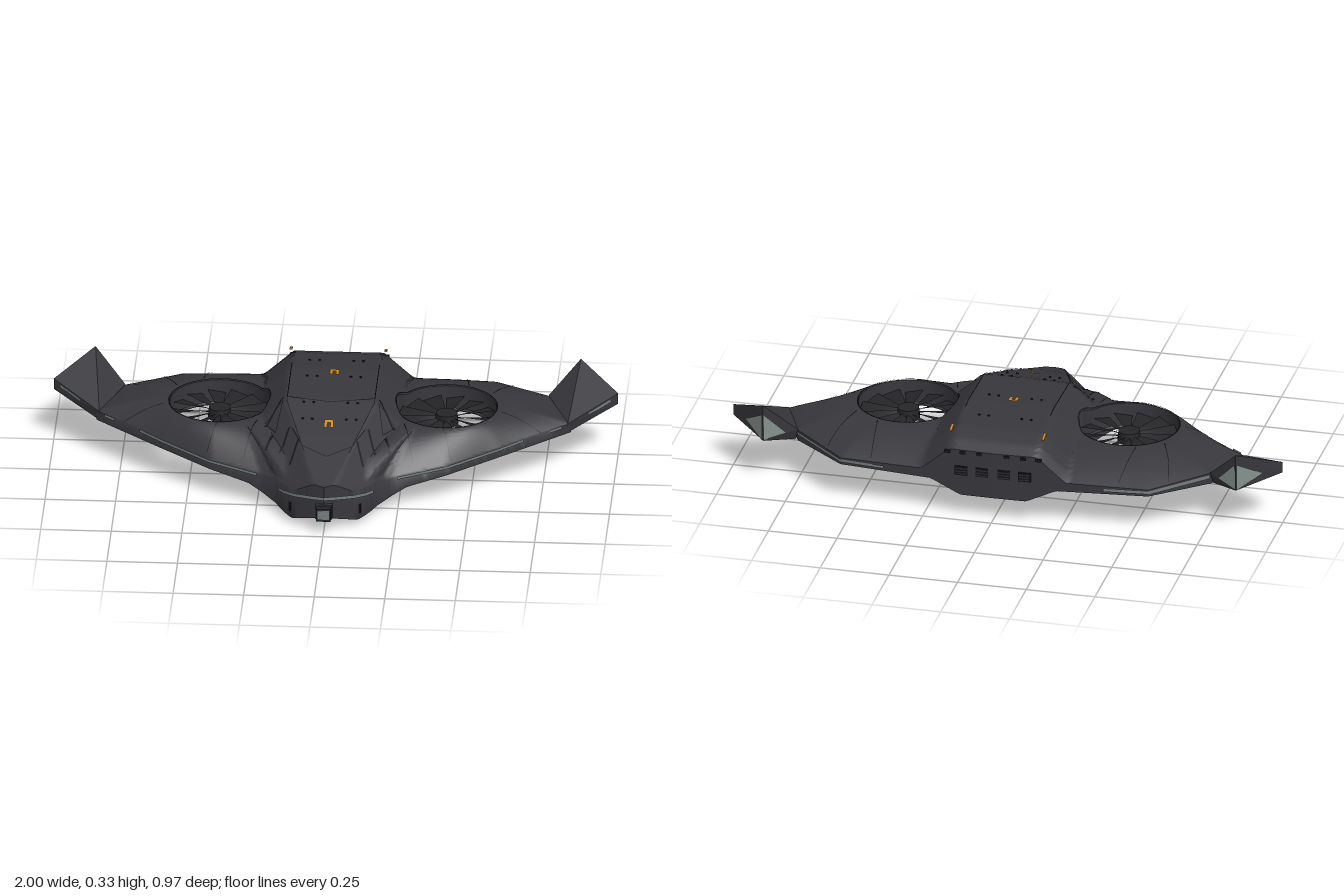
import * as THREE from 'three';
import { toCreasedNormals } from 'three/addons/utils/BufferGeometryUtils.js';
import { ConvexGeometry } from 'three/addons/geometries/ConvexGeometry.js';

const mat = (name, color, side = THREE.FrontSide) => {
  const m = new THREE.MeshStandardMaterial({ color, side });
  m.name = name;
  return m;
};

// Fan duct centre and radius
const CX = 0.402, CZ = -0.09, R = 0.176;

// Half planform: x, z, upper edge height, lower edge height
const OUTLINE = [
  [0, 0.452, 0.1, 0.1], [0.04, 0.437, 0.1, 0.1], [0.1, 0.408, 0.1, 0.1], [0.14, 0.365, 0.1, 0.06],
  [0.18, 0.3, 0.11, 0.06], [0.23, 0.26, 0.12, 0.07], [0.42, 0.19, 0.14, 0.105], [0.6, 0.07, 0.16, 0.125],
  [0.84, -0.12, 0.175, 0.14], [0.75, -0.31, 0.19, 0.15], [0.56, -0.455, 0.17, 0.145],
  [0.2, -0.472, 0.17, 0.135], [0, -0.476, 0.16, 0.12],
];

// Centreline profiles: z, y
const DECK = [[0.46, 0.165], [0.2, 0.26], [0.03, 0.318], [-0.2, 0.325], [-0.37, 0.305], [-0.43, 0.285], [-0.49, 0.25]];
const KEEL = [[0.46, 0.05], [0.4, 0.02], [0.33, 0.005], [0.26, 0], [0.18, 0.01], [0.06, 0.048],
  [-0.2, 0.057], [-0.3, 0.068], [-0.49, 0.086]];
const KEEL_NOTCH = [[0.46, 0], [0.3, 0.02], [0.15, 0.02], [0, 0]];
const DECK_WIDTH = [[0.46, 0.03], [0.3, 0.08], [0.05, 0.16], [-0.49, 0.16]];

function profile(p, z) {
  for (let i = 0; i < p.length - 1; i++) {
    const [a, ya] = p[i], [b, yb] = p[i + 1];
    if (z >= b) return ya + (yb - ya) * THREE.MathUtils.clamp((z - a) / (b - a), 0, 1);
  }
  return p[p.length - 1][1];
}

// How far a point lies between duct and outline, with the edge heights there
function edgeAt(x, z) {
  const dx = x - CX, dz = z - CZ, r = Math.hypot(dx, dz) || 1e-6;
  for (let i = 0; i < OUTLINE.length; i++) {
    const p = OUTLINE[i], q = OUTLINE[(i + 1) % OUTLINE.length];
    const ex = q[0] - p[0], ez = q[1] - p[1], px = p[0] - CX, pz = p[1] - CZ;
    const den = dx * ez - dz * ex;
    if (Math.abs(den) < 1e-9) continue;
    const s = (px * ez - pz * ex) / den, u = (px * dz - pz * dx) / den;
    if (s > 0 && u >= -1e-4 && u <= 1.0001) {
      const t = THREE.MathUtils.clamp((r - R) / (r * s - R), 0, 1);
      return [t, p[2] + (q[2] - p[2]) * u, p[3] + (q[3] - p[3]) * u];
    }
  }
  return [1, 0.15, 0.12];
}

function topY(x, z) {
  const [t, e] = edgeAt(x, z);
  const hull = profile(DECK, z) - Math.max(0, x - profile(DECK_WIDTH, z)) * 0.9;
  return Math.max(hull, 0.24 + (e - 0.24) * t ** 1.6);
}

function bottomY(x, z) {
  const [t, , e] = edgeAt(x, z);
  const notch = profile(KEEL_NOTCH, z) * Math.max(0, 1 - x / 0.12);
  return Math.min(profile(KEEL, z) + notch + Math.max(0, x - 0.12) * 0.48, 0.148 + (e - 0.148) * t);
}

function surface(pos, index) {
  const g = new THREE.BufferGeometry();
  g.setAttribute('position', new THREE.Float32BufferAttribute(pos, 3));
  g.setIndex(index);
  g.computeVertexNormals();
  return g;
}

// Half airframe: closed sections swept round the duct
function hullGeometry() {
  const pts = [], N = 26;
  OUTLINE.forEach((p, i) => {
    const q = OUTLINE[(i + 1) % OUTLINE.length];
    const n = Math.max(1, Math.ceil(Math.hypot(q[0] - p[0], q[1] - p[1]) / 0.017));
    for (let k = 0; k < n; k++) pts.push([p[0] + (q[0] - p[0]) * k / n, p[1] + (q[1] - p[1]) * k / n]);
  });
  const pos = [], index = [], K = 2 * (N + 1);
  for (const [ox, oz] of pts) {
    const a = Math.atan2(oz - CZ, ox - CX), hx = CX + R * Math.cos(a), hz = CZ + R * Math.sin(a);
    for (let k = 0; k < K; k++) {
      const t = (k <= N ? k : K - 1 - k) / N;
      const x = hx + (ox - hx) * t, z = hz + (oz - hz) * t;
      pos.push(x, k <= N ? topY(x, z) : bottomY(x, z), z);
    }
  }
  pts.forEach((p, i) => {
    const j = (i + 1) % pts.length;
    for (let k = 0; k < K; k++) {
      if (k === N && p[0] < 1e-6 && pts[j][0] < 1e-6) continue;
      const l = (k + 1) % K, a = i * K + k, b = i * K + l, c = j * K + l, d = j * K + k;
      index.push(a, b, c, a, c, d);
    }
  });
  return toCreasedNormals(surface(pos, index), 0.85);
}

// Thin ribbon laid along the skin
function ribbon(path, width, under = false) {
  const pos = [], index = [];
  for (let i = 0; i < path.length - 1; i++) {
    const [ax, az] = path[i], [bx, bz] = path[i + 1];
    const len = Math.hypot(bx - ax, bz - az), n = Math.ceil(len / 0.015);
    const nx = -(bz - az) / len * width / 2, nz = (bx - ax) / len * width / 2;
    for (let k = 0; k <= n; k++) {
      const x = ax + (bx - ax) * k / n, z = az + (bz - az) * k / n;
      for (const s of [-1, 1]) {
        const px = x + nx * s, pz = z + nz * s, f = Math.abs(px);
        pos.push(px, under ? bottomY(f, pz) - 0.003 : topY(f, pz) + 0.003, pz);
      }
      const v = pos.length / 3;
      if (k) index.push(v - 4, v - 3, v - 2, v - 3, v - 1, v - 2);
    }
  }
  return surface(pos, index);
}

// Upright strip on the side wall; points are x, y, z
function wallStrip(path, height) {
  const pos = [], index = [];
  path.forEach(([x, y, z], i) => {
    pos.push(x, y - height / 2, z, x, y + height / 2, z);
    if (i) index.push(i * 2 - 2, i * 2, i * 2 - 1, i * 2 - 1, i * 2, i * 2 + 1);
  });
  return surface(pos, index);
}

function mirrorX(geo) {
  const g = geo.index ? geo.toNonIndexed() : geo.clone();
  g.scale(-1, 1, 1);
  g.setIndex(Array.from({ length: g.attributes.position.count }, (_, i) => i - (i % 3) + [0, 2, 1][i % 3]));
  return g;
}

export function createModel() {
  const model = new THREE.Group();
  const skin = mat('charcoal skin', 0x38373c), fan = mat('fan black', 0x252528, THREE.DoubleSide);
  const line = mat('panel line', 0x18181b, THREE.DoubleSide), trim = mat('grey trim', 0x747e7e, THREE.DoubleSide);
  const pale = mat('pale panel', 0x87938f, THREE.DoubleSide), amber = mat('amber marking', 0xd08a1c, THREE.DoubleSide);
  const add = (name, geo, m) => {
    const mesh = new THREE.Mesh(geo, m);
    mesh.name = name;
    model.add(mesh);
  };
  const pair = (name, geo, m) => { add(name + 'Left', geo, m); add(name + 'Right', mirrorX(geo), m); };
  const box = (w, h, d, x, y, z) => new THREE.BoxGeometry(w, h, d).translate(x, y, z);

  pair('airframe', hullGeometry(), skin);

  // Upturned wing tips with pale facets on both sides of the rear gusset
  const V = (x, y, z) => new THREE.Vector3(x, y, z);
  pair('winglet', new ConvexGeometry([V(0.75, 0.192, -0.31), V(0.86, 0.305, -0.38), V(1, 0.235, -0.25),
    V(0.83, 0.177, -0.11), V(0.76, 0.15, -0.3), V(1, 0.195, -0.25), V(0.82, 0.137, -0.11), V(0.86, 0.165, -0.375)]), skin);
  pair('wingletOuterFacet', surface([0.864, 0.27, -0.383, 0.864, 0.168, -0.379, 0.943, 0.212, -0.308], [0, 2, 1]), pale);
  pair('wingletInnerFacet', surface([0.858, 0.27, -0.383, 0.858, 0.17, -0.379, 0.785, 0.187, -0.337], [0, 1, 2]), pale);
  pair('wingletStrip', wallStrip([[0.902, 0.193, -0.164], [0.975, 0.218, -0.225]], 0.009), trim);

  // Ducted fans
  const blades = 13, pos = [], index = [];
  for (let i = 0; i < blades; i++) {
    for (const [r, w] of [[0.035, 0.238], [0.1, 0.212], [R, 0.188]]) {
      for (const s of [-1, 1]) {
        const a = i / blades * Math.PI * 2 + s * w;
        pos.push(CX + r * Math.cos(a), 0.198 + s * 0.007, CZ + r * Math.sin(a));
      }
    }
    for (const v of [i * 6, i * 6 + 2]) index.push(v, v + 1, v + 2, v + 1, v + 3, v + 2);
  }
  pair('fanBlades', surface(pos, index), fan);
  pair('fanHub', new THREE.CylinderGeometry(0.038, 0.042, 0.04, 24).translate(CX, 0.198, CZ), fan);
  pair('ductLip', new THREE.TorusGeometry(R + 0.004, 0.007, 8, 48).rotateX(Math.PI / 2).translate(CX, 0.148, CZ), skin);
  const circle = (r) => Array.from({ length: 49 }, (_, i) => [CX + r * Math.cos(i * Math.PI / 24), CZ + r * Math.sin(i * Math.PI / 24)]);
  pair('ductRim', ribbon(circle(R + 0.004), 0.005), line);

  // Panel seams on the upper skin
  [[[0.155, -0.25], [0.155, 0.05], [0.08, 0.29]], [[0.47, -0.27], [0.45, -0.45]], [[0.56, -0.21], [0.6, -0.31], [0.62, -0.4]],
    [[0.6, -0.06], [0.74, -0.04]], [[0.4, 0.09], [0.43, 0.17]], [[0.26, 0.06], [0.3, 0.21]],
    [[0, 0.31], [0.09, 0.26], [0.13, 0.17]], [[0, 0.05], [0.15, 0.03]],
    [[0.17, 0.04], [0.23, 0.08], [0.19, 0.14], [0.17, 0.04]]]
    .forEach((p) => pair('panelSeam', ribbon(p, 0.003), line));
  // Dark slashes beside the nose
  [[[0.17, 0.02], [0.23, 0.1]], [[0.14, 0.16], [0.17, 0.24]], [[0.1, 0.22], [0.13, 0.3]], [[0.2, 0.15], [0.22, 0.22]]]
    .forEach((p) => pair('slashVent', ribbon(p, 0.008), line));
  // Underside seams
  [[[0.12, 0.3], [0.12, -0.46]], [[0.01, 0.1], [0.12, 0.1]], [[0.01, -0.2], [0.12, -0.2]], [[0.3, 0.13], [0.33, 0.2]]]
    .forEach((p) => pair('bellySeam', ribbon(p, 0.004, true), line));
  // Strips along the leading and trailing edges
  [[[0.25, 0.121, 0.259], [0.424, 0.138, 0.195], [0.6, 0.157, 0.077], [0.68, 0.164, 0.012]],
    [[0.772, 0.169, -0.06], [0.81, 0.171, -0.09]],
    [[0.752, 0.18, -0.314], [0.56, 0.161, -0.46], [0.4, 0.157, -0.468]]]
    .forEach((p) => pair('edgeStrip', wallStrip(p, 0.011), trim));
  // Nose band
  pair('noseBand', wallStrip([[0, 0.125, 0.458], [0.042, 0.122, 0.443], [0.105, 0.117, 0.414], [0.147, 0.108, 0.37],
    [0.169, 0.104, 0.337]], 0.013), trim);

  // Fasteners in pairs on the deck
  for (const z of [-0.29, -0.14, 0.05, 0.13]) {
    for (const x of [0.06, 0.095]) {
      pair('fastener', new THREE.CylinderGeometry(0.0045, 0.0045, 0.005, 8).translate(x, topY(x, z) + 0.001, z), line);
    }
  }
  // Amber deck markings
  for (const z of [-0.165, 0.16]) {
    add('hatchMarking', ribbon([[-0.011, z + 0.018], [-0.011, z - 0.012], [0.011, z - 0.012], [0.011, z + 0.018]], 0.011)
      .translate(0, 0.003, 0), amber);
    add('hatchMarkingTop', ribbon([[-0.016, z - 0.013], [0.016, z - 0.013]], 0.012).translate(0, 0.004, 0), amber);
  }
  pair('tailMarking', new THREE.BoxGeometry(0.009, 0.006, 0.036).rotateX(-0.28).translate(0.168, 0.308, -0.4), amber);

  // Nose sensor
  add('sensorMount', box(0.06, 0.055, 0.03, 0, 0.075, 0.445), skin);
  add('sensorHousing', box(0.052, 0.048, 0.035, 0, 0.073, 0.466), fan);
  add('sensorLens', box(0.04, 0.034, 0.004, 0, 0.075, 0.484), trim);
  pair('cheekVent', box(0.006, 0.03, 0.016, 0.124, 0.06, 0.386), line);

  // Tail exhaust grilles
  for (const x of [0.04, 0.115]) {
    pair('exhaustGrille', box(0.046, 0.034, 0.01, x, 0.18, -0.474), line);
    for (const y of [0.17, 0.18, 0.19]) pair('exhaustSlat', box(0.04, 0.004, 0.004, x, y, -0.48), skin);
  }
  for (const x of [0.05, 0.11, 0.165]) pair('tailTab', box(0.022, 0.01, 0.01, x, 0.25, -0.474), line);
  return model;
}
